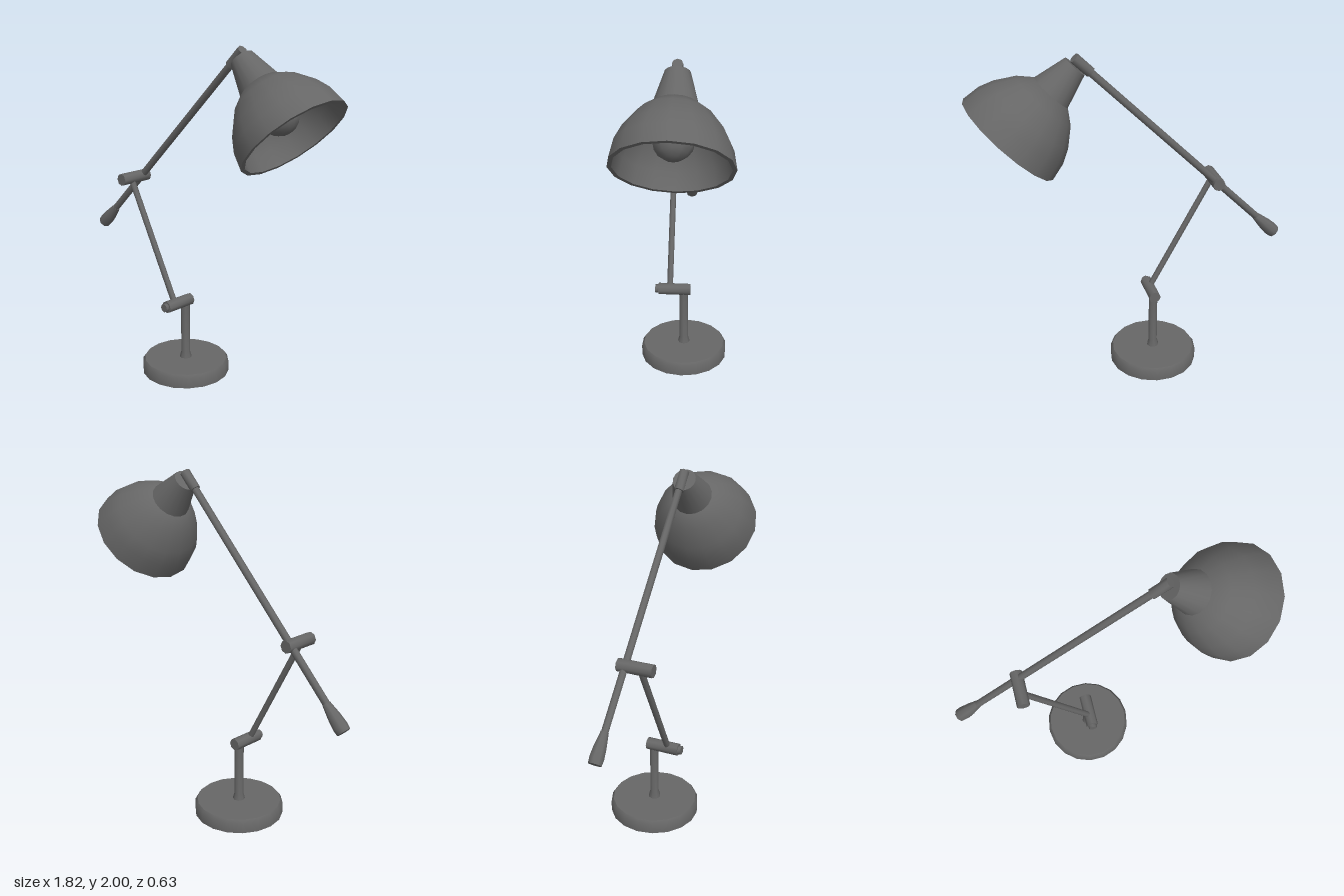
import * as THREE from 'three';
import { toCreasedNormals } from 'three/addons/utils/BufferGeometryUtils.js';

const material = new THREE.MeshStandardMaterial({ color: 0x666666 });
const UP = new THREE.Vector3(0, 1, 0);
const V = (x, y, z = 0) => new THREE.Vector3(x, y, z);

export function createModel() {
  const lamp = new THREE.Group();

  function place(name, geometry, origin, dir) {
    const mesh = new THREE.Mesh(geometry, material);
    mesh.name = name;
    mesh.position.copy(origin);
    mesh.quaternion.setFromUnitVectors(UP, dir.clone().normalize());
    lamp.add(mesh);
  }

  // Turned part: [radius, height] profile, placed at origin with its axis along dir
  function turned(name, profile, origin, dir = UP, sides = 8) {
    const points = profile.map(([r, h]) => new THREE.Vector2(r, h));
    const geometry = new THREE.LatheGeometry(points, sides, Math.PI / 2);
    place(name, toCreasedNormals(geometry, 0.9), origin, dir);
  }

  // Solid round bar between two points
  function rod(name, from, to, r) {
    const dir = to.clone().sub(from);
    const length = dir.length();
    turned(name, [[0, 0], [r, 0], [r, length], [0, length]], from, dir);
  }

  const low = V(-0.125, 0.452);  // lower hinge
  const high = V(-0.505, 1.162); // upper hinge
  const armDir = V(1, 1).normalize();
  const along = (d) => high.clone().addScaledVector(armDir, d);

  // Base and post
  turned('base', [[0, 0], [0.264, 0], [0.264, 0.062], [0.25, 0.082], [0, 0.082]], V(-0.125, 0), UP, 18);
  turned('post', [[0, 0.07], [0.037, 0.07], [0.035, 0.09], [0.027, 0.118], [0.027, 0.445], [0, 0.445]], V(-0.125, 0));

  // Hinges
  rod('lowerHinge', V(low.x, low.y, -0.04), V(low.x, low.y, 0.155), 0.036);
  rod('lowerHingeKnob', V(low.x, low.y, 0.155), V(low.x, low.y, 0.175), 0.026);
  rod('upperHinge', V(high.x, high.y, -0.04), V(high.x, high.y, 0.163), 0.037);

  // Arms
  rod('lowerArm', V(low.x, low.y, 0.086), V(high.x, high.y, 0.086), 0.018);
  rod('upperArm', along(-0.40), along(1.07), 0.021);
  turned('counterweight',
    [[0, 0], [0.039, 0], [0.042, 0.035], [0.037, 0.09], [0.023, 0.175], [0, 0.175]], along(-0.538), armDir);
  rod('shadeBracket', along(1.04), along(1.162), 0.029);

  // Shade: origin at the centre of the opening, axis pointing back to the bracket
  const mouth = V(0.682, 1.568);
  const shadeAxis = V(-1, 1).normalize();
  turned('shade', [
    [0, 0.32], [0.105, 0.32], [0.175, 0.262], [0.243, 0.17], [0.277, 0.097], [0.293, 0],
    [0.315, 0], [0.297, 0.102], [0.262, 0.18], [0.191, 0.279], [0.115, 0.34], [0, 0.34],
  ], mouth, shadeAxis, 16);
  turned('shadeNeck', [[0, 0.325], [0.117, 0.338], [0.067, 0.5225], [0, 0.5225]], mouth, shadeAxis, 16);

  // Bulb and its socket
  const bulbCentre = mouth.clone().addScaledVector(shadeAxis, 0.152);
  place('bulb', new THREE.SphereGeometry(0.109, 10, 8), bulbCentre, shadeAxis);
  turned('bulbSocket', [[0, 0.23], [0.05, 0.23], [0.05, 0.33], [0, 0.33]], mouth, shadeAxis);

  return lamp;
}
